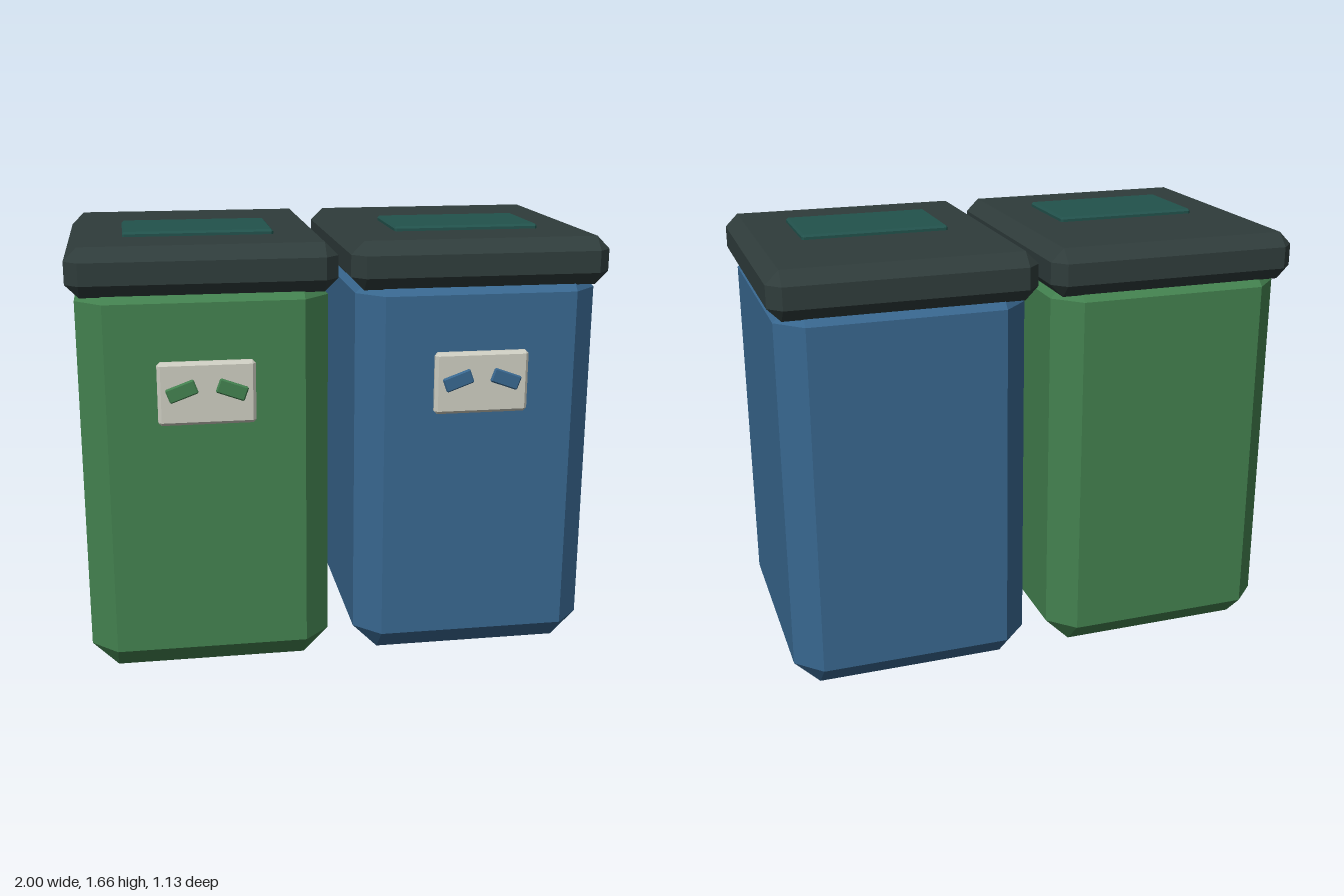
import * as THREE from 'three';
import { ConvexGeometry } from 'three/addons/geometries/ConvexGeometry.js';

const material = (name, color) => {
  const m = new THREE.MeshStandardMaterial({ color });
  m.name = name;
  return m;
};

// Box with every edge cut at 45 degrees and triangular corners
function chamferBox(w, h, d, c) {
  const points = [];
  const half = [w / 2, h / 2, d / 2];
  for (const sx of [-1, 1]) for (const sy of [-1, 1]) for (const sz of [-1, 1]) {
    const sign = [sx, sy, sz];
    for (let face = 0; face < 3; face++) {
      const p = half.map((v, i) => sign[i] * (i === face ? v : v - c));
      points.push(new THREE.Vector3(...p));
    }
  }
  return new ConvexGeometry(points);
}

export function createModel() {
  const green = material('green', 0x43814f);
  const blue = material('blue', 0x38678f);
  const lidMat = material('dark lid', 0x2f3c3b);
  const panelMat = material('teal panel', 0x22524c);
  const labelMat = material('pale label', 0xcbcbbf);

  const addPart = (parent, name, size, mat, x, y, z, roll = 0) => {
    const mesh = new THREE.Mesh(chamferBox(...size), mat);
    mesh.name = name;
    mesh.position.set(x, y, z);
    mesh.rotation.z = roll;
    parent.add(mesh);
  };

  // One bin, centred on its own x axis
  function makeBin(name, bodyMat) {
    const bin = new THREE.Group();
    bin.name = name;
    addPart(bin, 'body', [0.92, 1.535, 1.063, 0.097], bodyMat, 0, 0.7675, -0.008);
    addPart(bin, 'lid', [0.975, 0.18, 1.107, 0.049], lidMat, 0, 1.55, -0.009);
    addPart(bin, 'lidPanel', [0.56, 0.036, 0.35, 0.008], panelMat, 0, 1.64, 0.092);
    addPart(bin, 'label', [0.357, 0.235, 0.036, 0.012], labelMat, 0, 1.11, 0.536);
    // Two slanted marks on the label
    for (const s of [-1, 1]) {
      addPart(bin, s < 0 ? 'rightMark' : 'leftMark', [0.11, 0.055, 0.022, 0.005],
        bodyMat, s * 0.091, 1.122, 0.552, -s * 0.35);
    }
    return bin;
  }

  const group = new THREE.Group();
  group.name = 'recyclingBins';
  const greenBin = makeBin('greenBin', green);
  greenBin.position.x = -0.511;
  const blueBin = makeBin('blueBin', blue);
  blueBin.position.x = 0.511;
  group.add(greenBin, blueBin);
  return group;
}
